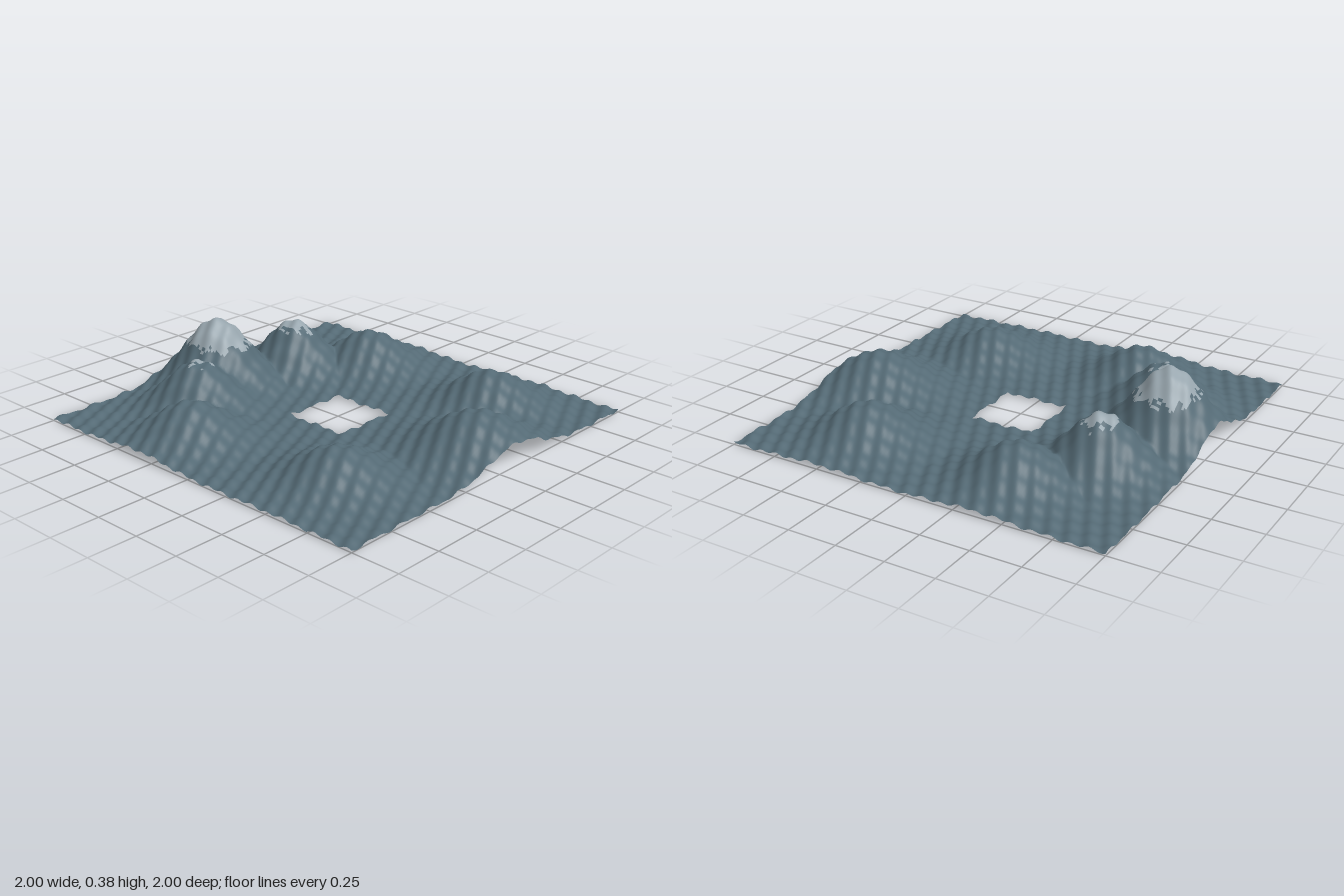
import * as THREE from 'three';

const CELLS = 180;
const HOLE = [75, 106]; // cell range left open in the middle

// Mountains: x, z, height, spread
const PEAKS = [
  [-0.12, -0.75, 0.36, 0.17],
  [0.32, -0.62, 0.27, 0.15],
  [-0.4, -0.59, 0.24, 0.16],
  [-0.68, -0.33, 0.175, 0.165],
  [0.64, -0.36, 0.185, 0.165],
  [0.62, 0.48, 0.175, 0.17],
  [-0.55, 0.51, 0.15, 0.17],
  [0.12, 0.78, 0.195, 0.2],
];

// Highest mountain at the point, plus two crossing sets of fine ripples
function heightAt(x, z) {
  let h = 0;
  for (const [px, pz, top, s] of PEAKS) {
    const d2 = (x - px) ** 2 + (z - pz) ** 2;
    h = Math.max(h, top * Math.exp(-d2 / (2 * s * s)));
  }
  const ripple = 0.006 * Math.sin(33 * x + 68 * z) + 0.004 * Math.sin(62 * x - 30 * z);
  return 0.01 + h + ripple;
}

// Repeatable value from 0 to 1 for a patch of cells
function patchNoise(i, j) {
  const v = Math.sin(i * 12.9898 + j * 78.233) * 43758.5453;
  return v - Math.floor(v);
}

const inHole = (i, j) => i >= HOLE[0] && i < HOLE[1] && j >= HOLE[0] && j < HOLE[1];

export function createModel() {
  const group = new THREE.Group();
  group.name = 'mountainTerrain';

  // Height field on a regular grid
  const field = new THREE.PlaneGeometry(2, 2, CELLS, CELLS);
  field.rotateX(-Math.PI / 2);
  const pos = field.attributes.position;
  for (let k = 0; k < pos.count; k++) {
    pos.setY(k, heightAt(pos.getX(k), pos.getZ(k)));
  }
  field.computeVertexNormals();

  // Sort the cells into rock and snow, leaving out the square opening
  const rock = [];
  const snow = [];
  const row = CELLS + 1;
  for (let j = 0; j < CELLS; j++) {
    for (let i = 0; i < CELLS; i++) {
      if (inHole(i, j)) continue;
      const a = j * row + i;
      const b = a + row;
      const line = 0.225 + 0.045 * patchNoise(i >> 1, j >> 1);
      const target = pos.getY(a) > line ? snow : rock;
      target.push(a, b, a + 1, b, b + 1, a + 1);
    }
  }

  const addPart = (name, index, color) => {
    const part = field.clone();
    part.setIndex(index);
    const material = new THREE.MeshStandardMaterial({ color, side: THREE.DoubleSide });
    const mesh = new THREE.Mesh(part.toNonIndexed(), material);
    mesh.name = name;
    group.add(mesh);
  };
  addPart('rockyGround', rock, 0x546a75);
  addPart('snowCaps', snow, 0x98a6ae);

  return group;
}
